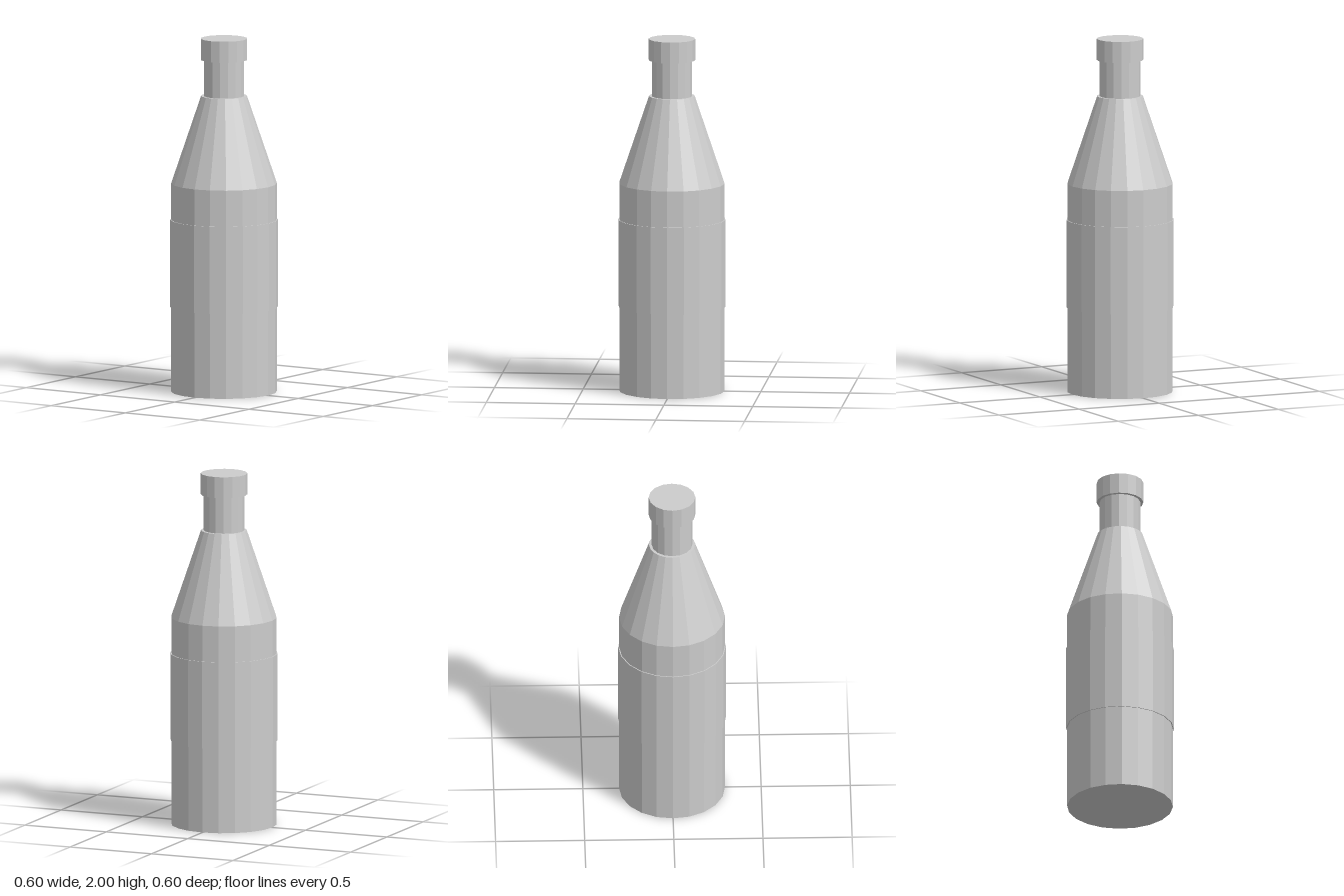
import * as THREE from 'three';

export function createModel() {
  const bottle = new THREE.Group();
  bottle.name = 'bottle';
  const grey = new THREE.MeshStandardMaterial({ color: 0xcccccc });
  grey.name = 'light grey';

  // Faceted ring section between two heights
  function section(name, bottomRadius, topRadius, y0, y1, sides) {
    const geometry = new THREE.CylinderGeometry(topRadius, bottomRadius, y1 - y0, sides).toNonIndexed();
    geometry.computeVertexNormals(); // flat facets
    const mesh = new THREE.Mesh(geometry, grey);
    mesh.name = name;
    mesh.position.y = (y0 + y1) / 2;
    bottle.add(mesh);
  }

  section('body', 0.297, 0.297, 0, 1.18, 20);
  section('labelBand', 0.302, 0.302, 0.48, 0.975, 20);
  section('shoulder', 0.297, 0.129, 1.18, 1.675, 20);
  section('neck', 0.114, 0.114, 1.675, 1.88, 16);
  section('cap', 0.131, 0.131, 1.88, 2, 16);

  return bottle;
}
